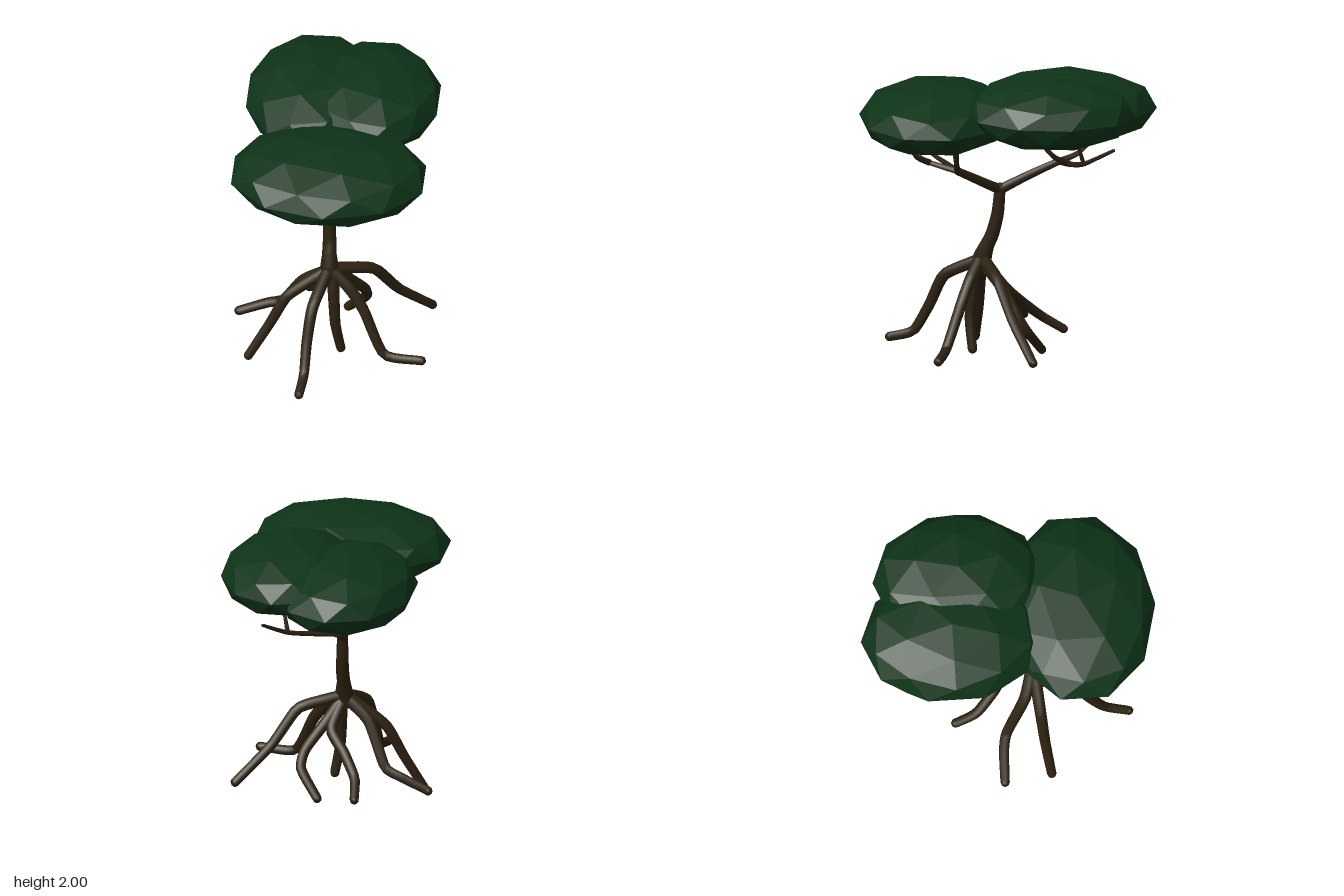
import * as THREE from 'three';

const bark = new THREE.MeshStandardMaterial({ color: 0x2c2110 });
const leaf = new THREE.MeshStandardMaterial({ color: 0x0e3318, flatShading: true });

// Tapered limb through a few points, with a rounded tip
function limb(name, points, r0, r1, sides = 8) {
  const group = new THREE.Group();
  group.name = name;
  const curve = new THREE.CatmullRomCurve3(points.map(p => new THREE.Vector3(...p)), false, 'catmullrom', 0.3);
  const rings = (points.length - 1) * 5;
  const geo = new THREE.TubeGeometry(curve, rings, 1, sides);
  const pos = geo.attributes.position;
  const v = new THREE.Vector3();
  for (let i = 0; i <= rings; i++) {
    const centre = curve.getPointAt(i / rings);
    const r = THREE.MathUtils.lerp(r0, r1, i / rings);
    for (let j = 0; j <= sides; j++) {
      const k = i * (sides + 1) + j;
      v.fromBufferAttribute(pos, k).sub(centre).multiplyScalar(r).add(centre);
      pos.setXYZ(k, v.x, v.y, v.z);
    }
  }
  const tube = new THREE.Mesh(geo, bark);
  tube.name = name + 'Wood';
  const tip = new THREE.Mesh(new THREE.SphereGeometry(r1, sides, 6), bark);
  tip.name = name + 'Tip';
  tip.position.set(...points[points.length - 1]);
  group.add(tube, tip);
  return group;
}

// Flattened faceted leaf mass with a vertex at the pole
function foliage(name, centre, radii, flip) {
  const geo = new THREE.IcosahedronGeometry(1, 1);
  geo.rotateZ(-Math.atan(2 / (1 + Math.sqrt(5))));
  if (flip) geo.rotateY(Math.PI);
  geo.scale(...radii);
  const mesh = new THREE.Mesh(geo, leaf);
  mesh.name = name;
  mesh.position.set(...centre);
  return mesh;
}

export function createModel() {
  const tree = new THREE.Group();
  tree.name = 'tree';

  // Canopy
  tree.add(
    foliage('frontFoliage', [0, 1.685, 0.467], [0.667, 0.225, 0.51], false),
    foliage('backLeftFoliage', [0.232, 1.775, -0.315], [0.455, 0.225, 0.566], false),
    foliage('backRightFoliage', [-0.16, 1.73, -0.38], [0.468, 0.24, 0.605], true)
  );

  // Trunk, flared where the roots meet
  tree.add(limb('trunkBase', [[-0.015, 0.64, 0.165], [-0.02, 0.72, 0.16], [-0.025, 0.84, 0.115]], 0.075, 0.042));
  tree.add(limb('trunk', [[-0.025, 0.78, 0.14], [-0.025, 0.88, 0.095], [-0.03, 1.02, 0.06], [-0.035, 1.19, 0.045]], 0.048, 0.037));

  // Two main branches
  const frontNode = [0.17, 1.355, 0.31], backNode = [-0.08, 1.37, -0.34];
  const fork = [-0.035, 1.18, 0.045];
  tree.add(limb('frontBranch', [fork, [0.05, 1.25, 0.15], frontNode], 0.034, 0.026));
  tree.add(limb('backBranch', [fork, [-0.06, 1.27, -0.13], backNode], 0.034, 0.024));

  // Secondary branches and twigs
  const twigs = [
    [frontNode, [0.24, 1.42, 0.31], [0.33, 1.55, 0.3]],
    [[0.24, 1.42, 0.31], [0.22, 1.5, 0.33]],
    [frontNode, [0.1, 1.39, 0.5], [0.07, 1.45, 0.62], [0.05, 1.55, 0.77]],
    [[0.1, 1.39, 0.5], [0.16, 1.44, 0.58], [0.18, 1.52, 0.63]],
    [frontNode, [0.02, 1.375, 0.41], [-0.1, 1.4, 0.5], [-0.2, 1.5, 0.55]],
    [[-0.08, 1.395, 0.49], [-0.07, 1.5, 0.56]],
    [backNode, [-0.14, 1.41, -0.46], [-0.22, 1.52, -0.58], [-0.25, 1.6, -0.66]],
    [[-0.15, 1.42, -0.48], [-0.14, 1.55, -0.42]],
    [backNode, [0.06, 1.39, -0.42], [0.2, 1.43, -0.53], [0.32, 1.56, -0.74]],
    [[0.2, 1.43, -0.53], [0.23, 1.55, -0.5]],
    [[0.05, 1.39, -0.42], [0.12, 1.45, -0.33], [0.17, 1.57, -0.23]],
    [[-0.22, 1.52, -0.58], [-0.18, 1.67, -0.76]]
  ];
  twigs.forEach((p, i) => tree.add(limb('twig' + (i + 1), p, p.length > 2 ? 0.022 : 0.016, 0.011, 6)));

  // Stilt roots
  const roots = [
    [[-0.03, 0.69, 0.16], [-0.2, 0.56, 0.1], [-0.34, 0.3, -0.03], [-0.45, 0.25, -0.055], [-0.64, 0.17, -0.06]],
    [[-0.03, 0.7, 0.17], [-0.14, 0.62, 0.18], [-0.3, 0.49, 0.2], [-0.41, 0.28, 0.22], [-0.55, 0.035, 0.255]],
    [[-0.03, 0.7, 0.18], [-0.11, 0.57, 0.42], [-0.14, 0.36, 0.52], [-0.15, 0.17, 0.63], [-0.17, 0.12, 0.79]],
    [[-0.005, 0.71, 0.17], [0.01, 0.58, 0.21], [0.025, 0.32, 0.24], [0.06, 0.11, 0.22]],
    [[0, 0.7, 0.18], [0.12, 0.6, 0.23], [0.22, 0.46, 0.28], [0.36, 0.18, 0.37], [0.61, 0.165, 0.4]],
    [[0, 0.7, 0.15], [0.11, 0.68, 0.1], [0.27, 0.63, 0.03], [0.42, 0.4, -0.08], [0.63, 0.175, -0.23]],
    [[0, 0.67, 0.14], [0.08, 0.55, 0.03], [0.19, 0.39, -0.08], [0.2, 0.28, -0.15], [0.07, 0.12, -0.24]],
    [[-0.01, 0.67, 0.14], [0.03, 0.52, 0], [-0.08, 0.4, -0.1], [-0.18, 0.28, -0.22], [-0.21, 0.19, -0.36]]
  ];
  roots.forEach((p, i) => tree.add(limb('root' + (i + 1), p, 0.042, 0.031)));

  return tree;
}
